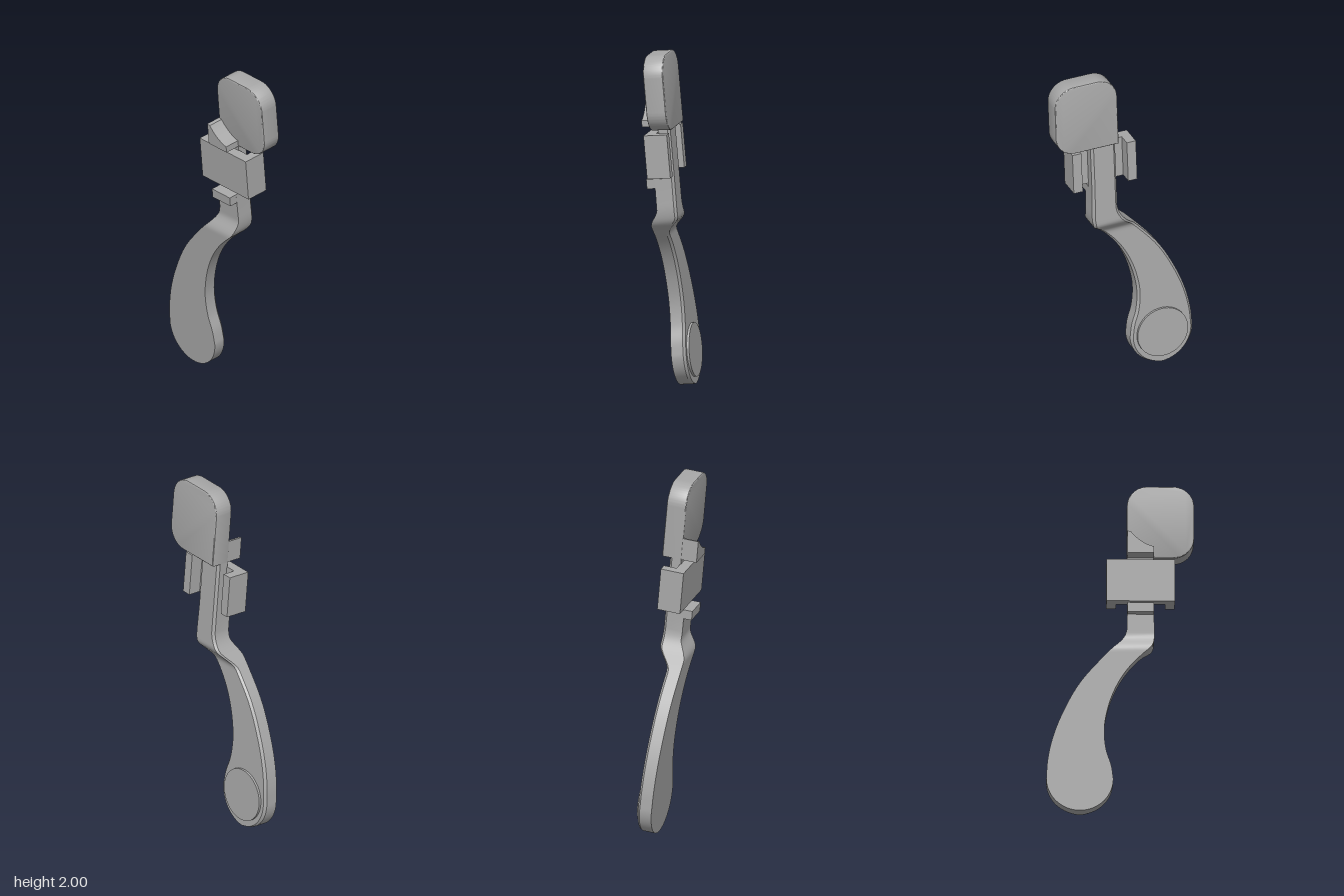
import * as THREE from 'three';
import { toCreasedNormals } from 'three/addons/utils/BufferGeometryUtils.js';

const TILT = 0.0873; // whole lever leans forward about 5 degrees
const STEM_L = 0.038, STEM_R = 0.188;

// smooth curve through [height, value] pairs
function curve(pairs) {
  const f = new THREE.CubicInterpolant(pairs.map(p => p[0]), pairs.map(p => p[1]), 1, [0]);
  return v => f.evaluate(v)[0];
}

// handle, bend and stem lofted from cross-sections along the height
function leverGeometry() {
  const left = curve([[0.19, -0.42], [0.3, -0.412], [0.43, -0.385], [0.58, -0.33], [0.77, -0.228],
    [0.94, -0.085], [1.03, 0.0], [1.07, 0.025], [1.12, STEM_L], [1.2, STEM_L]]);
  const right = curve([[0.19, -0.04], [0.27, -0.052], [0.36, -0.08], [0.48, -0.092], [0.58, -0.08],
    [0.7, -0.045], [0.81, 0.01], [0.89, 0.07], [0.95, 0.13], [0.99, 0.172], [1.03, STEM_R], [1.2, STEM_R]]);
  const rows = [];
  const addRow = (v, l, r, front) => {
    const back = THREE.MathUtils.lerp(-0.107, -0.187, THREE.MathUtils.smoothstep(v, 0.92, 1.03));
    const c = Math.min(0.014, (r - l) / 4);
    rows.push([[l, front], [r, front], [r, back + c], [r - c, back], [l + c, back], [l, back + c]]
      .map(([x, w]) => [x, v, w]));
  };
  const frontAt = v => THREE.MathUtils.lerp(-0.023, -0.073, THREE.MathUtils.smoothstep(v, 0.97, 1.08));
  for (let i = 1; i < 20; i++) { // rounded lower end
    const a = (i / 20) * Math.PI / 2;
    addRow(0.19 - 0.192 * Math.cos(a), -0.23 - 0.19 * Math.sin(a), -0.23 + 0.19 * Math.sin(a), -0.023);
  }
  for (let i = 0; i <= 60; i++) { // curved grip and bend
    const v = 0.19 + 0.93 * i / 60;
    addRow(v, left(v), right(v), frontAt(v));
  }
  addRow(1.252, STEM_L, STEM_R, -0.073); // step where the stem gets thinner
  addRow(1.2521, STEM_L, STEM_R, -0.118);
  addRow(1.57, STEM_L, STEM_R, -0.118);

  const n = 6, index = [];
  for (let r = 0; r < rows.length - 1; r++) {
    for (let i = 0; i < n; i++) {
      const a = r * n + i, b = r * n + (i + 1) % n;
      index.push(a, b, b + n, a, b + n, a + n);
    }
  }
  const top = (rows.length - 1) * n;
  for (let i = 1; i < n - 1; i++) index.push(0, i + 1, i, top, top + i, top + i + 1);
  const g = new THREE.BufferGeometry();
  g.setAttribute('position', new THREE.Float32BufferAttribute(rows.flat(2), 3));
  g.setIndex(index);
  return toCreasedNormals(g, 0.5);
}

// extrude a shape between two depths, with an optional small bevel
function slab(shape, back, front, bevel = 0) {
  const g = new THREE.ExtrudeGeometry(shape, {
    depth: front - back - 2 * bevel, curveSegments: 14, bevelEnabled: bevel > 0,
    bevelSize: bevel, bevelOffset: -bevel, bevelThickness: bevel, bevelSegments: 3,
  });
  g.translate(0, 0, back + bevel);
  return toCreasedNormals(g, 0.5);
}

// head outline: three round corners, square where it meets the stem
function headShape() {
  const l = 0.036, r = 0.416, b = 0.556, t = 1.987, c = 0.118, bottom = b + 1;
  const s = new THREE.Shape();
  s.moveTo(l, bottom);
  s.lineTo(r - c, bottom);
  s.absarc(r - c, bottom + c, c, -Math.PI / 2, 0);
  s.lineTo(r, t - c);
  s.absarc(r - c, t - c, c, 0, Math.PI / 2);
  s.lineTo(l + c, t);
  s.absarc(l + c, t - c, c, Math.PI / 2, Math.PI);
  s.lineTo(l, bottom);
  return s;
}

// hook outline: upper edge sweeps down to the side
function hookShape() {
  const s = new THREE.Shape();
  s.moveTo(STEM_L, 1.556);
  s.lineTo(STEM_R, 1.556);
  s.lineTo(STEM_R, 1.594);
  s.quadraticCurveTo(0.115, 1.61, 0.058, 1.682);
  s.lineTo(STEM_L, 1.687);
  s.closePath();
  return s;
}

export function createModel() {
  const grey = new THREE.MeshStandardMaterial({ color: 0xa8a8a8 });
  grey.name = 'plain grey';
  const lever = new THREE.Group();
  lever.name = 'lever';
  lever.rotation.x = TILT;
  const add = (name, geometry) => {
    const m = new THREE.Mesh(geometry, grey);
    m.name = name;
    lever.add(m);
  };
  const box = (x0, x1, y0, y1, z0, z1) => new THREE.BoxGeometry(x1 - x0, y1 - y0, z1 - z0)
    .translate((x0 + x1) / 2, (y0 + y1) / 2, (z0 + z1) / 2);

  add('handleAndStem', leverGeometry());
  add('head', slab(headShape(), -0.233, -0.117, 0.008));
  add('hook', slab(hookShape(), -0.125, -0.027));
  add('stopTab', box(STEM_L, STEM_R, 1.2, 1.2545, -0.117, -0.025));

  // sliding clip: a channel open to the back
  const clip = new THREE.Shape([[-0.08, 0.062], [0.308, 0.062], [0.308, 0.198], [0.253, 0.198],
    [0.253, 0.122], [-0.025, 0.122], [-0.025, 0.198], [-0.08, 0.198]].map(p => new THREE.Vector2(...p)));
  const clipGeometry = new THREE.ExtrudeGeometry(clip, { depth: 0.25, bevelEnabled: false });
  clipGeometry.rotateX(-Math.PI / 2).translate(0, 1.277, 0);
  add('slidingClip', clipGeometry);

  // raised round pad on the back of the handle
  const pad = new THREE.CylinderGeometry(0.154, 0.154, 0.018, 48);
  pad.rotateX(Math.PI / 2).translate(-0.23, 0.193, -0.111);
  add('roundPad', pad);

  const model = new THREE.Group();
  model.name = 'leverModel';
  model.add(lever);
  return model;
}
